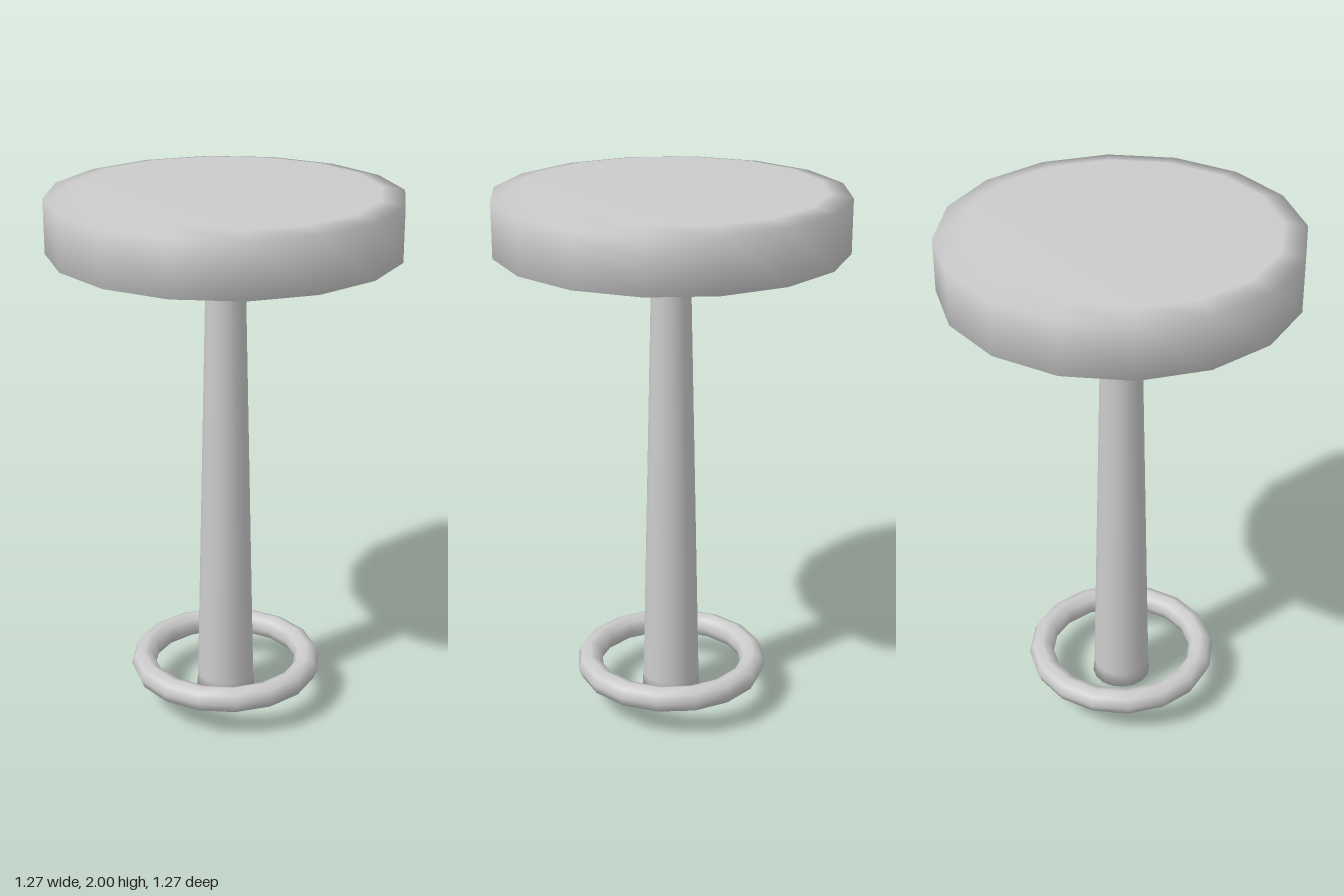
import * as THREE from 'three';

const SIDES = 16;

export function createModel() {
  const model = new THREE.Group();
  const material = new THREE.MeshStandardMaterial({ color: 0xcccccc });

  const add = (name, geometry) => {
    const mesh = new THREE.Mesh(geometry, material);
    mesh.name = name;
    model.add(mesh);
    return mesh;
  };
  // Smooth turned part; profile runs from the bottom up as [radius, y]
  const turned = (name, profile) =>
    add(name, new THREE.LatheGeometry(profile.map(([r, y]) => new THREE.Vector2(r, y)), SIDES));

  // Round cushion with a narrow bevel above and below
  turned('seat', [
    [0, 1.77], [0.55, 1.77], [0.633, 1.79],
    [0.633, 1.985], [0.55, 2], [0, 2],
  ]);

  // Tapered pole ending in a shallow point
  turned('pole', [[0, 0], [0.112, 0.04], [0.108, 0.1], [0.07, 1.78]]);

  // Foot ring around the pole
  const ring = add('footRing', new THREE.TorusGeometry(0.317, 0.048, 8, SIDES));
  ring.rotation.x = Math.PI / 2;
  ring.position.y = 0.153;

  return model;
}
